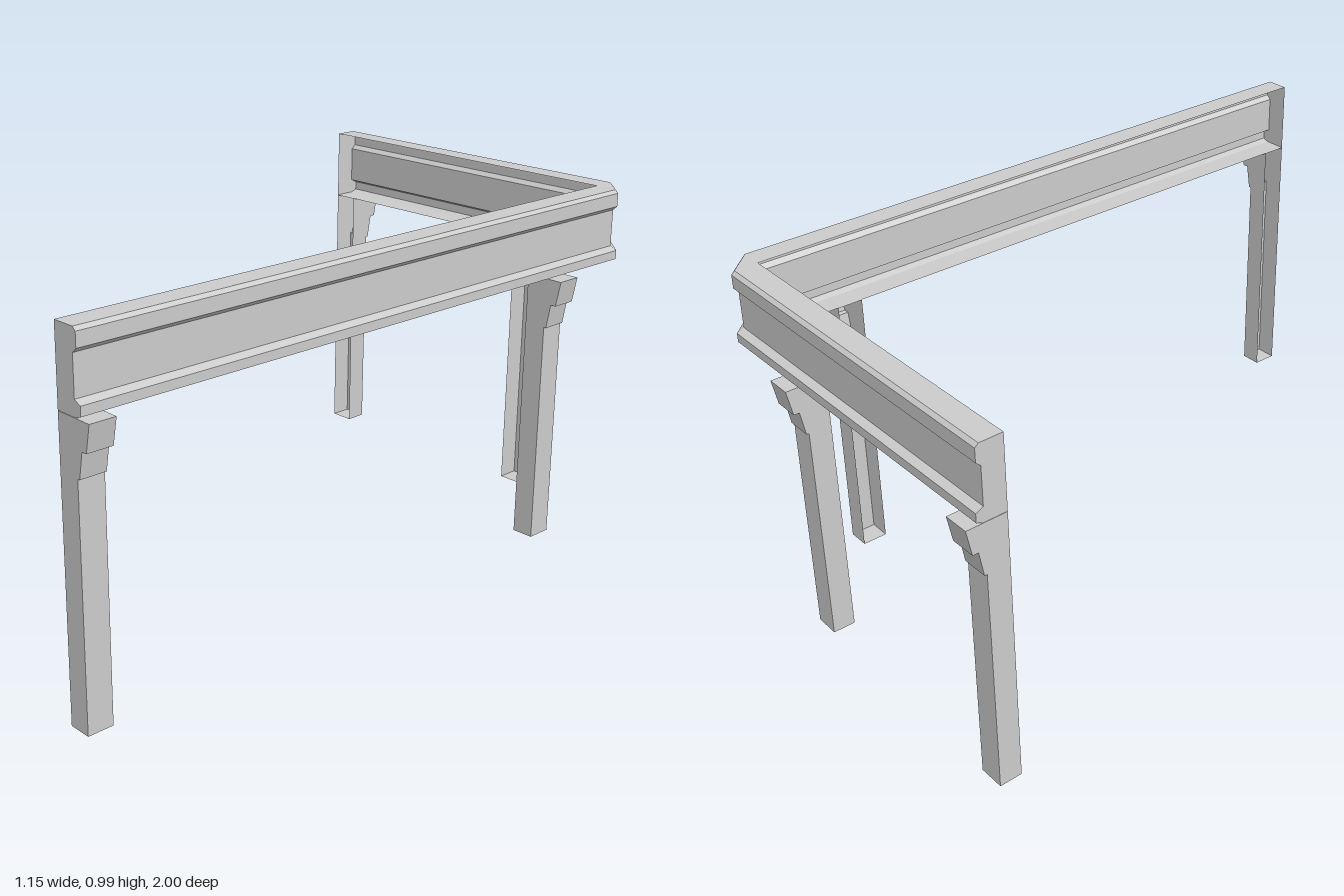
import * as THREE from 'three';

const material = new THREE.MeshStandardMaterial({ color: 0xcccccc, flatShading: true, side: THREE.DoubleSide });

// Inner corner of the L and the ends of its two arms
const CX = 0.463, CZ = -0.887, LEFT_END = -0.578, FRONT_END = 1;
const LEG_WIDTH = 0.073;

// Profiles as [distance outward from the inner line, height]; the inner side stays open
const beamProfile = [
  [0, 0.784], [0.066, 0.784], [0.084, 0.791], [0.084, 0.816], [0.063, 0.826],
  [0.063, 0.931], [0.076, 0.943], [0.076, 0.981], [0.066, 0.99], [0, 0.99],
];
const legProfile = [
  [0, 0], [0.064, 0], [0.064, 0.642], [0.071, 0.642], [0.083, 0.711],
  [0.099, 0.711], [0.113, 0.783], [0, 0.783],
];

// A station places a profile: origin (x, z) and outward direction
const backStation = (x) => ({ x, z: CZ, dx: 0, dz: -1 });
const sideStation = (z) => ({ x: CX, z, dx: 1, dz: 0 });

// Sheet channel swept through the stations, with a cap at both ends
function channel(name, profile, stations) {
  const positions = [];
  const rows = stations.map((s) =>
    profile.map(([d, y]) => new THREE.Vector3(s.x + s.dx * d, y, s.z + s.dz * d)));
  const tri = (a, b, c) => {
    if (new THREE.Triangle(a, b, c).getArea() < 1e-8) return;
    for (const p of [a, b, c]) positions.push(p.x, p.y, p.z);
  };
  for (let s = 0; s < rows.length - 1; s++) {
    for (let i = 0; i < profile.length - 1; i++) {
      const a0 = rows[s][i], b0 = rows[s][i + 1], a1 = rows[s + 1][i], b1 = rows[s + 1][i + 1];
      tri(a0, b0, a1);
      tri(b0, b1, a1);
    }
  }
  const first = rows[0], last = rows[rows.length - 1];
  const outline = profile.map(([d, y]) => new THREE.Vector2(d, y));
  for (const [i, j, k] of THREE.ShapeUtils.triangulateShape(outline, [])) {
    tri(first[i], first[k], first[j]);
    tri(last[i], last[j], last[k]);
  }
  const geometry = new THREE.BufferGeometry();
  geometry.setAttribute('position', new THREE.Float32BufferAttribute(positions, 3));
  geometry.computeVertexNormals();
  const mesh = new THREE.Mesh(geometry, material);
  mesh.name = name;
  return mesh;
}

export function createModel() {
  const model = new THREE.Group();
  model.name = 'corneredBeamOnLegs';

  // Moulded beam, bevelled across the outer corner
  model.add(channel('beam', beamProfile, [
    backStation(LEFT_END), backStation(CX), sideStation(CZ), sideStation(FRONT_END),
  ]));

  // Legs with stepped brackets, two under each arm
  [LEFT_END, 0.177].forEach((x, i) =>
    model.add(channel(`backLeg${i + 1}`, legProfile, [backStation(x), backStation(x + LEG_WIDTH)])));
  [-0.673, FRONT_END - LEG_WIDTH].forEach((z, i) =>
    model.add(channel(`sideLeg${i + 1}`, legProfile, [sideStation(z), sideStation(z + LEG_WIDTH)])));

  return model;
}
